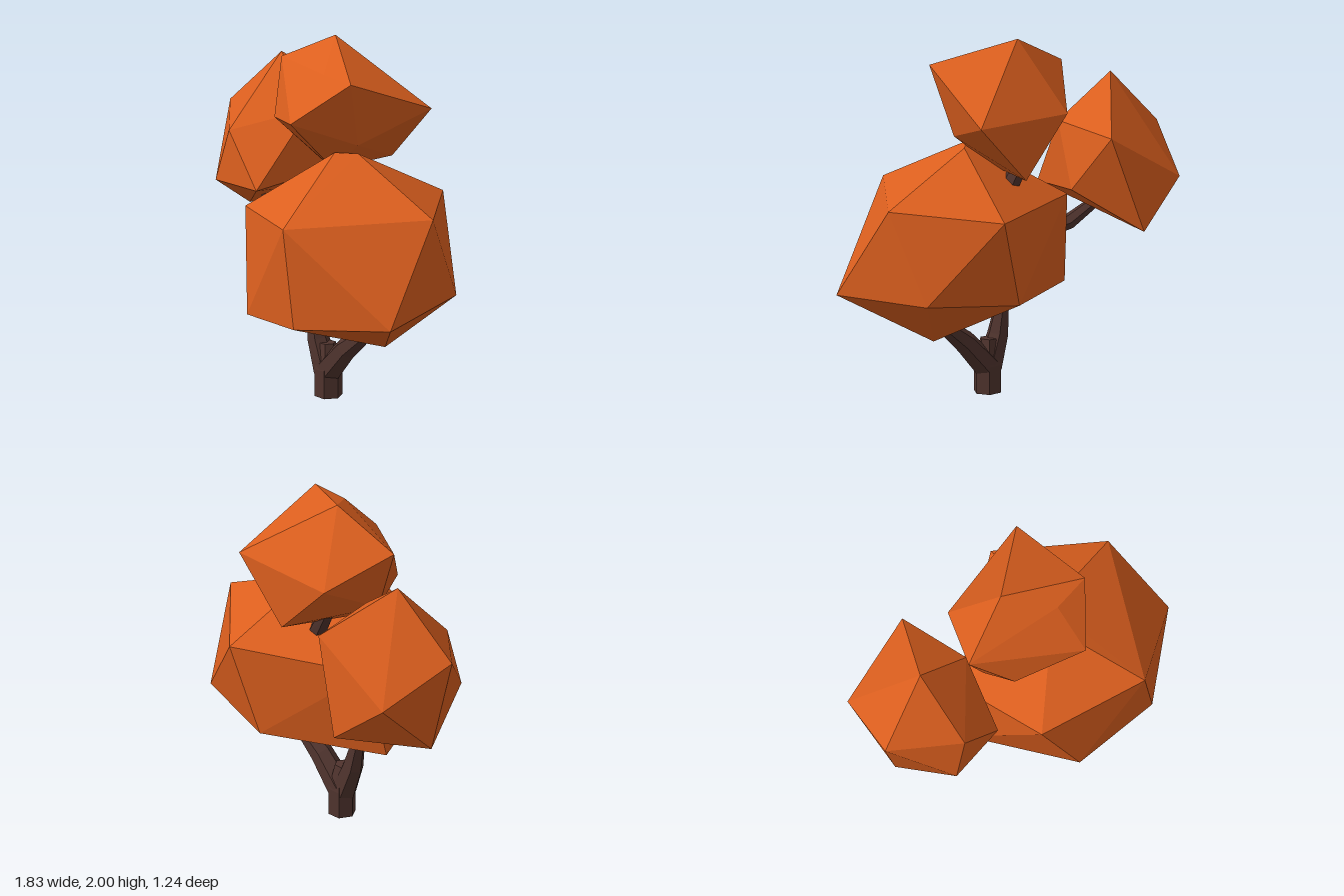
import * as THREE from 'three';
import { ConvexGeometry } from 'three/addons/geometries/ConvexGeometry.js';

const foliage = new THREE.MeshStandardMaterial({ color: 0xdc5f1e, flatShading: true });
foliage.name = 'autumn orange';
const bark = new THREE.MeshStandardMaterial({ color: 0x50342e, flatShading: true });
bark.name = 'dark bark';

// Faceted leaf mass: the hull of a few corner points
function crown(name, points) {
  const geometry = new ConvexGeometry(points.map((p) => new THREE.Vector3(...p)));
  const mesh = new THREE.Mesh(geometry, foliage);
  mesh.name = name;
  return mesh;
}

// Six-sided limb swept through stations of [x, y, z, radius]
function limb(name, stations) {
  const rows = stations.length - 1;
  const centres = stations.map(([x, y, z]) => new THREE.Vector3(x, y, z));
  const up = new THREE.Vector3(0, 1, 0);
  const turns = centres.map((c, i) => {
    const tangent = centres[Math.min(i + 1, rows)].clone().sub(centres[Math.max(i - 1, 0)]).normalize();
    return new THREE.Quaternion().setFromUnitVectors(up, tangent);
  });
  const geometry = new THREE.CylinderGeometry(1, 1, rows, 6, rows, false, Math.PI / 6).toNonIndexed();
  const pos = geometry.attributes.position;
  const v = new THREE.Vector3();
  for (let i = 0; i < pos.count; i++) {
    v.fromBufferAttribute(pos, i);
    const row = Math.round(v.y + rows / 2);
    v.setY(0).multiplyScalar(stations[row][3]).applyQuaternion(turns[row]).add(centres[row]);
    pos.setXYZ(i, v.x, v.y, v.z);
  }
  geometry.computeVertexNormals();
  const mesh = new THREE.Mesh(geometry, bark);
  mesh.name = name;
  return mesh;
}

export function createModel() {
  const tree = new THREE.Group();
  tree.name = 'tree';

  // Leaf masses
  tree.add(crown('largeCrown', [
    [0.2, 1.42, 0.09], [0.29, 1.415, 0], // top
    [0.355, 1.135, 0.615], [0.85, 1.165, -0.035], [0.42, 1.125, -0.505], [-0.29, 1.09, -0.17], [-0.22, 1.075, 0.36],
    [0.91, 0.625, 0.335], [0.43, 0.58, 0.605], [-0.06, 0.525, 0.495], [-0.345, 0.57, -0.08],
    [0.26, 0.62, -0.435], [0.775, 0.665, -0.275],
    [0.505, 0.365, 0], // bottom
  ]));
  tree.add(crown('topCrown', [
    [0, 2, -0.1], [0.405, 1.87, 0.16], [0.18, 1.87, 0.15], [-0.36, 1.805, -0.035],
    [0.15, 1.63, 0.37], [0.475, 1.635, -0.37], [-0.205, 1.54, 0.16], [-0.14, 1.61, -0.355],
    [0.33, 1.48, 0.04], [-0.24, 1.43, -0.03], [0.16, 1.29, -0.37],
    [0.09, 1.28, 0], [-0.04, 1.3, -0.03], // underside
  ]));
  tree.add(crown('sideCrown', [
    [-0.555, 1.745, -0.215], [-0.915, 1.395, -0.17], [-0.285, 1.485, -0.555], [-0.25, 1.505, -0.14],
    [-0.6, 1.36, 0.13], [-0.18, 1.17, -0.34], [-0.76, 1.19, -0.555], [-0.69, 1.06, 0.145], [-0.35, 1.08, 0.16],
    [-0.79, 0.83, -0.2], [-0.46, 0.945, -0.62],
  ]));

  // Trunk and forking limbs
  tree.add(limb('trunk', [[0.096, 0, 0.04, 0.077], [0.096, 0.155, 0.04, 0.077], [0.09, 0.3, 0.04, 0.045]]));
  tree.add(limb('rightLimb', [
    [0.085, 0.14, 0.04, 0.074], [0.02, 0.31, 0.045, 0.06], [-0.02, 0.5, 0.05, 0.036], [-0.03, 0.7, 0.05, 0.035],
  ]));
  tree.add(limb('leftLimb', [
    [0.105, 0.15, 0.04, 0.076], [0.25, 0.305, 0.045, 0.064], [0.38, 0.41, 0.04, 0.046], [0.55, 0.56, 0.03, 0.04],
  ]));

  // Branches reaching the smaller leaf masses
  tree.add(limb('sideBranch', [
    [-0.24, 0.81, 0.05, 0.064], [-0.31, 0.84, 0.04, 0.054], [-0.42, 0.88, -0.03, 0.043],
    [-0.56, 0.995, -0.1, 0.03], [-0.6, 1.05, -0.13, 0.025],
  ]));
  tree.add(limb('topBranch', [
    [0.12, 1.12, -0.11, 0.055], [0.1, 1.2, -0.15, 0.052], [0.02, 1.34, -0.17, 0.045], [-0.02, 1.45, -0.14, 0.035],
  ]));
  return tree;
}
